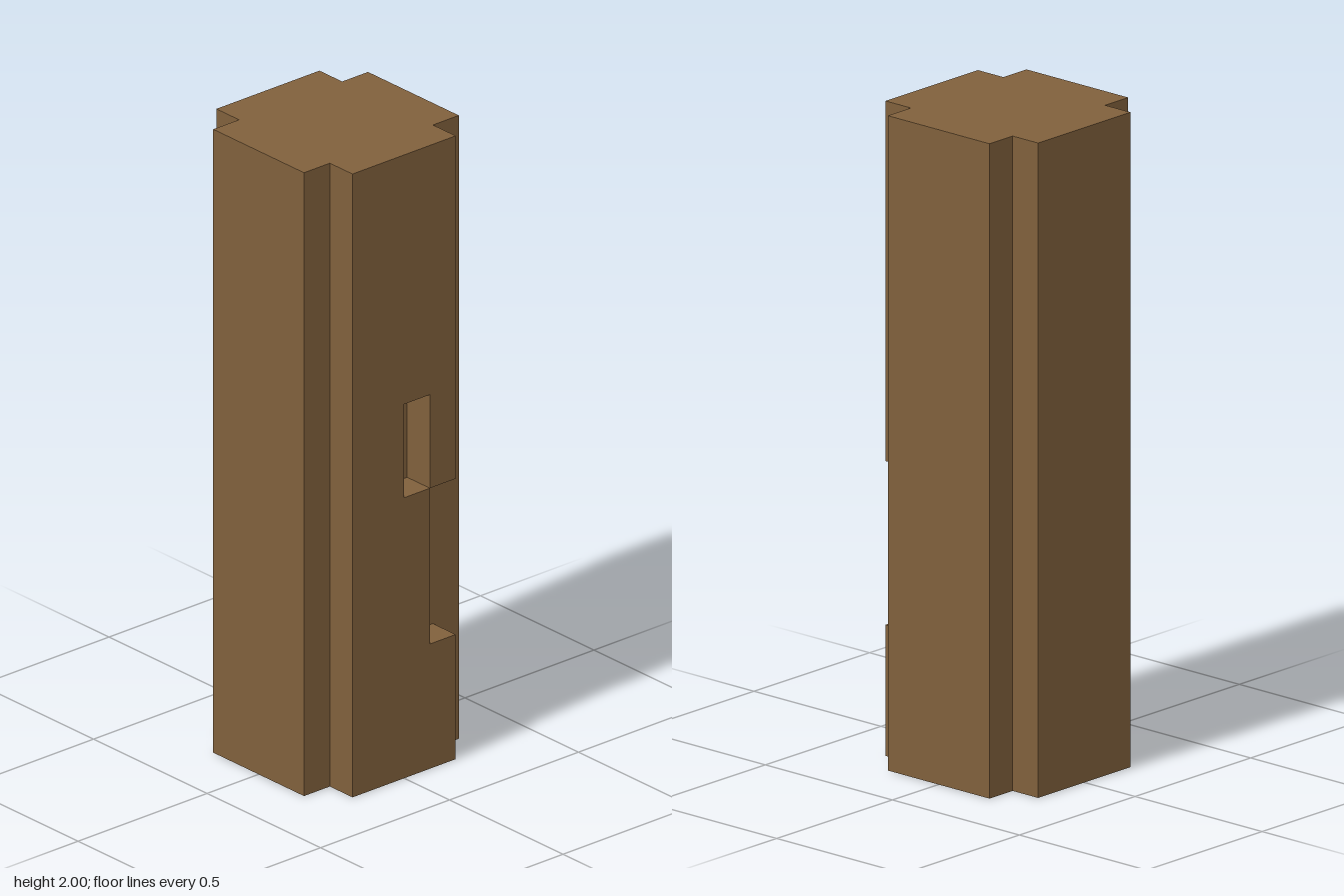
import * as THREE from 'three';

// Straight-edged solid from an outline of [x, y] points
function extrude(points, depth) {
  const shape = new THREE.Shape(points.map(([x, y]) => new THREE.Vector2(x, y)));
  return new THREE.ExtrudeGeometry(shape, { depth, bevelEnabled: false });
}

export function createModel() {
  const group = new THREE.Group();
  group.name = 'notchedPost';
  const wood = new THREE.MeshStandardMaterial({ name: 'brown wood', color: 0x80603c });

  const add = (name, geometry) => {
    const mesh = new THREE.Mesh(geometry, wood);
    mesh.name = name;
    group.add(mesh);
    return mesh;
  };

  // Post body: side and back ribs in one plan outline, drawn with the back at +y
  const body = extrude([
    [-0.3, -0.2], [0.3, -0.2], [0.3, 0.2], [0.2, 0.2],
    [0.2, 0.3], [-0.2, 0.3], [-0.2, 0.2], [-0.3, 0.2],
  ], 2);
  body.rotateX(-Math.PI / 2);
  add('postBody', body);

  // Front rib: an edge notch whose upper corner meets a rectangular pocket
  const rib = extrude([
    [-0.2, 0], [0.2, 0], [0.2, 0.4], [0.1, 0.4], [0.1, 0.9],
    [0, 0.9], [0, 1.2], [0.1, 1.2], [0.1, 0.9],
    [0.2, 0.9], [0.2, 2], [-0.2, 2],
  ], 0.1);
  add('frontRib', rib).position.z = 0.2;

  return group;
}
